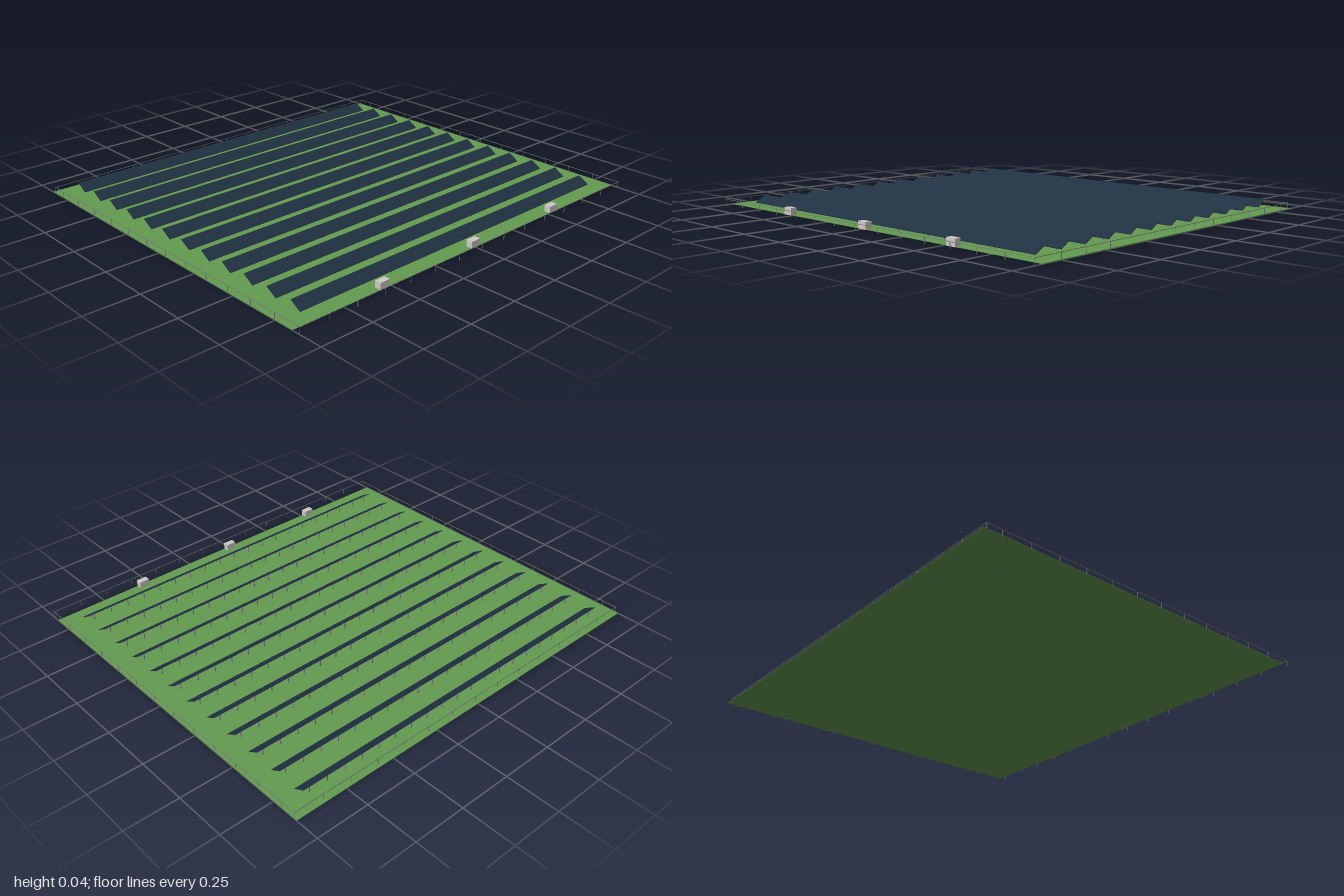
import * as THREE from 'three';

const mat = (name, color) => {
  const m = new THREE.MeshStandardMaterial({ color });
  m.name = name;
  return m;
};

export function createModel() {
  const grass = mat('grass green', 0x649b50);
  const glass = mat('panel navy', 0x1f3142);
  const steel = mat('support grey', 0x85878c);
  const cabinet = mat('cabinet light grey', 0xcfcbc6);
  const wire = mat('fence grey', 0x74787a);

  const model = new THREE.Group();
  model.name = 'solarField';

  const box = (parent, name, material, size, pos) => {
    const mesh = new THREE.Mesh(new THREE.BoxGeometry(...size), material);
    mesh.name = name;
    mesh.position.set(...pos);
    parent.add(mesh);
    return mesh;
  };

  // Ground slab, reaching a little further back than forward
  box(model, 'ground', grass, [2, 0.002, 1.732], [0, 0.001, -0.019]);

  // Twelve rows of tilted panels, high edge at the back
  const length = 1.81, slope = 0.061, tilt = Math.PI / 6;
  for (let i = 0; i < 12; i++) {
    const row = new THREE.Group();
    row.name = 'panelRow';
    row.position.z = -0.788 + i * 0.14;
    model.add(row);

    const table = new THREE.Group();
    table.name = 'panelTable';
    table.position.y = 0.025;
    table.rotation.x = tilt;
    row.add(table);
    box(table, 'panelGlass', glass, [length, 0.002, slope], [0, 0.001, 0]);
    box(table, 'panelBacking', steel, [length, 0.001, slope], [0, -0.0005, 0]);

    // Posts under the panels
    const count = 20;
    for (let k = 0; k < count; k++) {
      const x = -0.87 + (k * 1.74) / (count - 1);
      box(row, 'backPost', steel, [0.004, 0.032, 0.004], [x, 0.016, -0.016]);
      box(row, 'frontPost', steel, [0.004, 0.014, 0.004], [x, 0.007, 0.016]);
    }
  }

  // Inverter cabinets along the front edge
  for (const x of [-0.535, 0, 0.535]) {
    box(model, 'inverterCabinet', cabinet, [0.05, 0.033, 0.03], [x, 0.0165, 0.835]);
  }

  // Thin perimeter fence: one top rail and slim posts
  const fence = new THREE.Group();
  fence.name = 'fence';
  model.add(fence);
  const fx = 0.997, zBack = -0.868, zFront = 0.884, t = 0.002, h = 0.028;
  const zMid = (zBack + zFront) / 2, depth = zFront - zBack;
  for (const s of [-1, 1]) {
    box(fence, 'sideRail', wire, [t, t, depth], [s * fx, h, zMid]);
    for (let z = zFront; z > zBack; z -= 0.14) {
      box(fence, 'sidePost', wire, [t, h, t], [s * fx, h / 2, z]);
    }
    box(fence, 'cornerPost', wire, [t, h, t], [s * fx, h / 2, zBack]);
  }
  for (const z of [zBack, zFront]) {
    box(fence, 'crossRail', wire, [2 * fx, t, t], [0, h, z]);
    for (let k = 1; k < 14; k++) {
      box(fence, 'crossPost', wire, [t, h, t], [-fx + (k * 2 * fx) / 14, h / 2, z]);
    }
  }

  return model;
}
